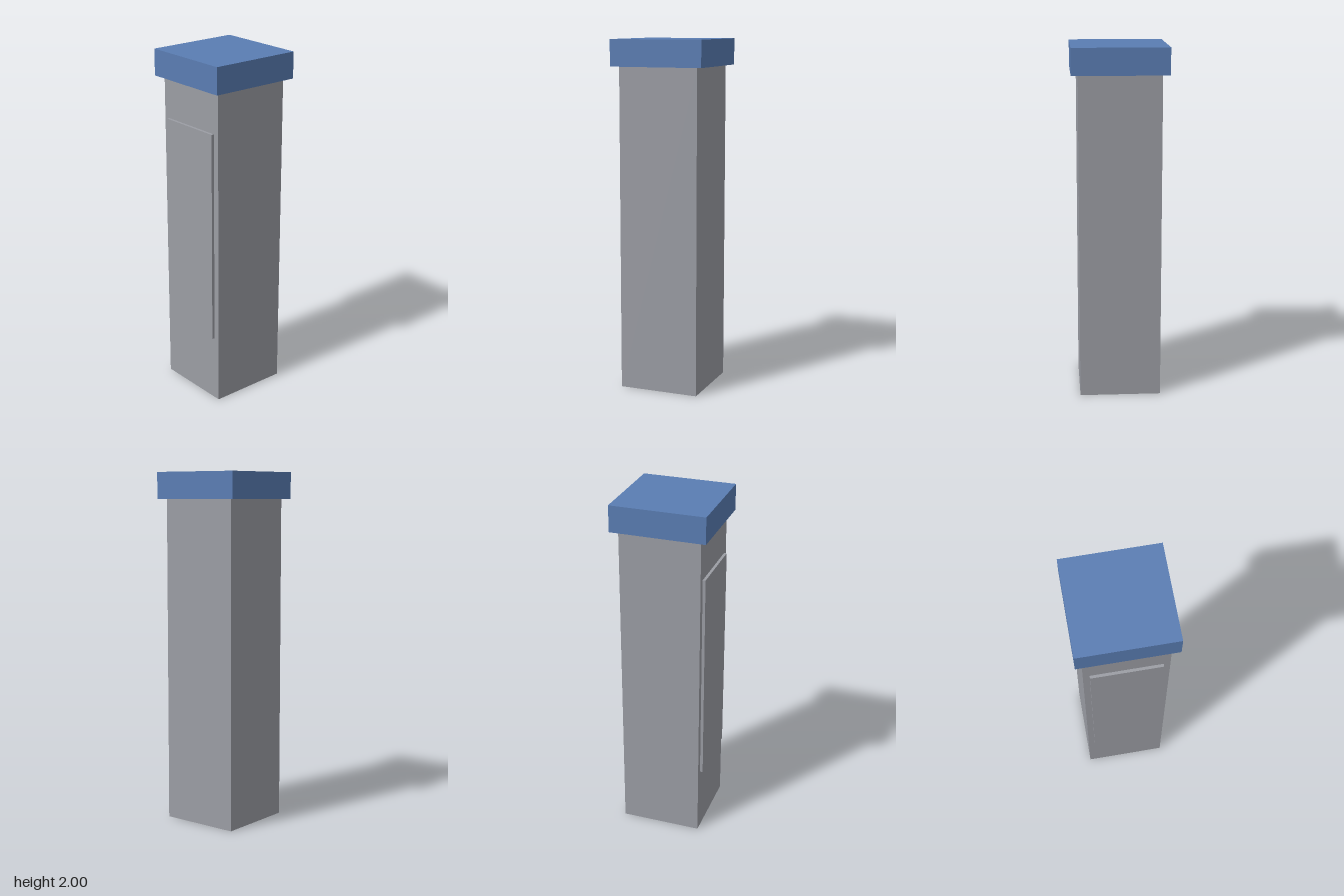
import * as THREE from 'three';

const grey = new THREE.MeshStandardMaterial({ name: 'stone grey', color: 0x9b9da4 });
const blue = new THREE.MeshStandardMaterial({ name: 'cap blue', color: 0x5a7db3 });

// Box placed by its base height
function box(name, [w, h, d], [x, y, z], material) {
  const mesh = new THREE.Mesh(new THREE.BoxGeometry(w, h, d), material);
  mesh.name = name;
  mesh.position.set(x, y + h / 2, z);
  return mesh;
}

export function createModel() {
  const group = new THREE.Group();
  group.name = 'pillar';
  group.add(
    // Square shaft
    box('shaft', [0.462, 1.85, 0.462], [0, 0, 0], grey),
    // Raised panel on the front face, slightly sunk into the shaft
    box('frontPanel', [0.39, 1.225, 0.03], [0, 0.39, 0.232], grey),
    // Overhanging cap
    box('cap', [0.538, 0.15, 0.538], [0, 1.85, 0], blue),
  );
  return group;
}
